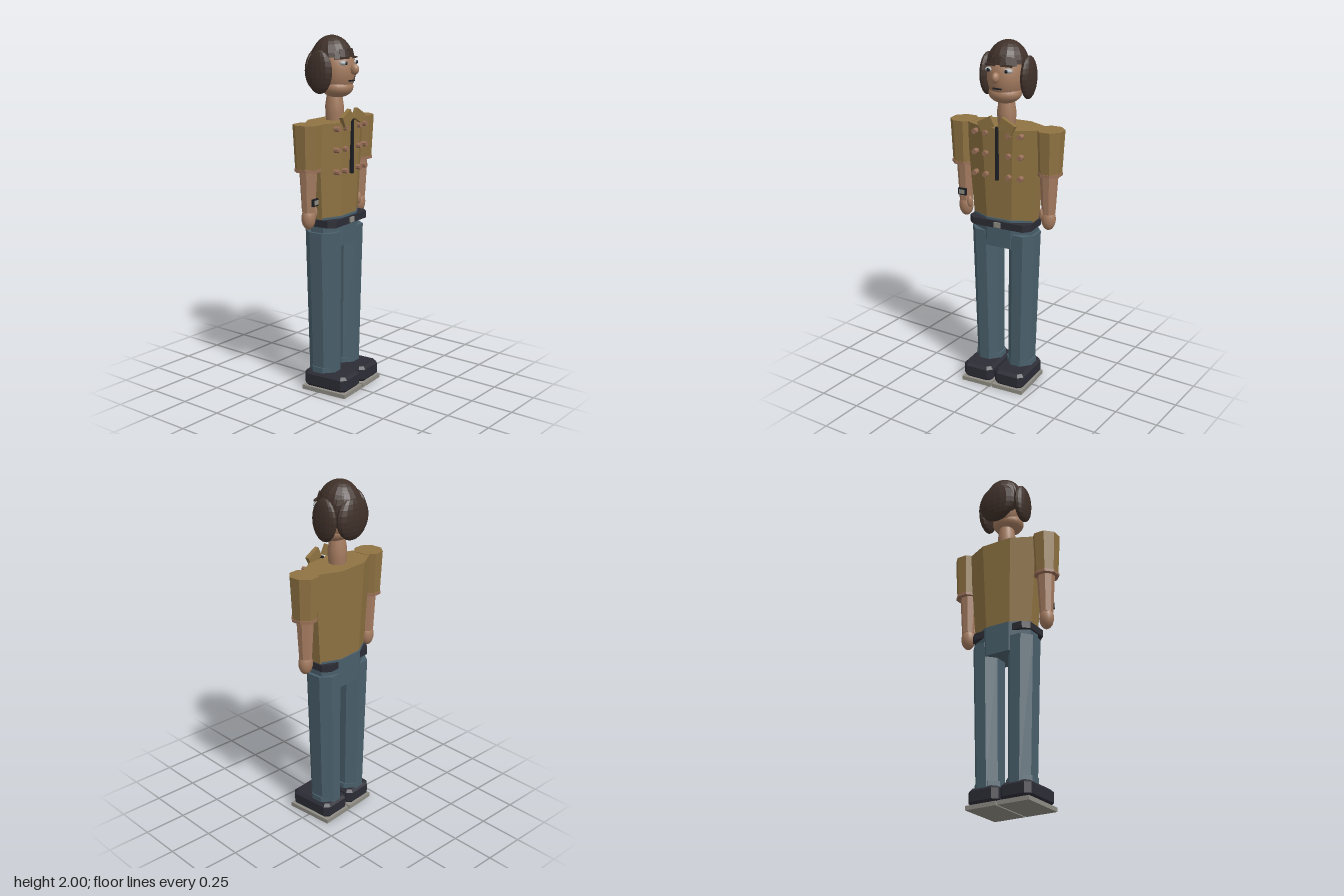
import * as THREE from 'three';

const mat = (name, color) => {
  const m = new THREE.MeshStandardMaterial({ color });
  m.name = name;
  return m;
};

export function createModel() {
  const shirt = mat('ochre shirt', 0x8f7342);
  const denim = mat('blue trousers', 0x4a606c);
  const skin = mat('skin', 0xa57c60);
  const hair = mat('brown hair', 0x40312a);
  const leather = mat('dark leather', 0x2c2c36);
  const grey = mat('warm grey', 0x8f8d84);
  const trim = mat('copper trim', 0x9a7058);
  const black = mat('black', 0x1e2024);
  const white = mat('eye white', 0xb4b8b8);

  const body = new THREE.Group();
  body.name = 'figure';

  const add = (name, geo, material, x, y, z) => {
    const mesh = new THREE.Mesh(geo, material);
    mesh.name = name;
    mesh.position.set(x, y, z);
    body.add(mesh);
    return mesh;
  };
  // gives faceted normals
  const flat = (geo) => {
    const g = geo.index ? geo.toNonIndexed() : geo;
    g.computeVertexNormals();
    return g;
  };
  // eight-sided prism with half sizes rx, rz at the top, scaled by k at the bottom
  const prism = (rx, rz, h, k = 1) => {
    const c = Math.cos(Math.PI / 8);
    return flat(new THREE.CylinderGeometry(1 / c, k / c, h, 8)
      .rotateY(Math.PI / 8).scale(rx, 1, rz));
  };
  const ball = (rx, ry, rz, w = 16, h = 12) =>
    new THREE.SphereGeometry(1, w, h).scale(rx, ry, rz);
  const box = (w, h, d) => new THREE.BoxGeometry(w, h, d);
  // rectangle with cut corners, extruded upwards from y = 0
  const slab = (x, z0, z1, cut, h, bevel = 0) => {
    const b = bevel;
    const pts = [
      [-x + cut, -z1 + b], [x - cut, -z1 + b], [x - b, -z1 + cut], [x - b, -z0 - cut],
      [x - cut, -z0 - b], [-x + cut, -z0 - b], [-x + b, -z0 - cut], [-x + b, -z1 + cut],
    ].map(([a, c]) => new THREE.Vector2(a, c));
    const geo = new THREE.ExtrudeGeometry(new THREE.Shape(pts), {
      depth: h - 2 * b, bevelEnabled: b > 0, bevelSize: b, bevelThickness: b, bevelSegments: 1,
    });
    return flat(geo.rotateX(-Math.PI / 2).translate(0, b, 0));
  };

  // Torso and trousers top
  add('shirtBody', prism(0.225, 0.112, 0.53, 0.82), shirt, 0, 1.275, 0);
  add('hips', prism(0.182, 0.1, 0.17, 0.97), denim, 0, 0.935, 0);
  add('belt', slab(0.19, -0.09, 0.112, 0.035, 0.04), leather, 0, 0.968, 0);
  add('buckle', box(0.042, 0.03, 0.012), grey, 0, 0.988, 0.114);
  add('zip', box(0.014, 0.3, 0.02), black, 0, 1.4, 0.112);

  for (const s of [-1, 1]) {
    // Collar flaps and buttons
    add('collarFlap', box(0.09, 0.06, 0.024), shirt, s * 0.062, 1.562, 0.116)
      .rotation.z = -s * 0.48;
    for (const y of [1.51, 1.395, 1.275]) {
      for (const x of [0.07, 0.138]) {
        const button = add('button',
          flat(new THREE.CylinderGeometry(0.015, 0.015, 0.034, 8).rotateX(Math.PI / 2)),
          trim, s * x, y, x > 0.1 ? 0.107 : 0.113);
        button.rotation.z = -s * 0.4;
      }
    }

    // Arms
    const ax = s * 0.264;
    add('sleeve', prism(0.073, 0.077, 0.25, 0.84), shirt, ax, 1.417, 0);
    add('sleeveCuff', prism(0.066, 0.069, 0.016), trim, ax, 1.297, 0);
    add('forearm', prism(0.048, 0.045, 0.23, 0.74), skin, ax - s * 0.004, 1.18, 0);
    add('hand', ball(0.042, 0.064, 0.038), skin, ax - s * 0.004, 1.032, 0);
    add('thumb', ball(0.016, 0.036, 0.018, 10, 8), skin, ax - s * 0.036, 1.06, 0.016);

    // Legs
    const leg = add('trouserLeg', prism(0.08, 0.096, 0.83, 0.88), denim, s * 0.1085, 0.52, 0);
    leg.rotation.z = -s * 0.018;
    add('trouserHem', prism(0.08, 0.08, 0.035), denim, s * 0.1, 0.127, 0);

    // Shoes
    add('shoeUpper', slab(0.094, -0.095, 0.188, 0.035, 0.09, 0.016), leather, s * 0.1, 0.025, 0);
    add('shoeSole', box(0.19, 0.024, 0.285), grey, s * 0.1, 0.012, 0.0475);
  }

  // Wristwatch on the right arm
  add('watchCase', box(0.05, 0.04, 0.014), black, -0.26, 1.122, 0.042);
  add('watchDial', box(0.034, 0.024, 0.006), grey, -0.26, 1.122, 0.049);

  // Neck
  const neckProfile = [[0.047, 1.53], [0.052, 1.58], [0.052, 1.62], [0.046, 1.66], [0.04, 1.7]]
    .map(([r, y]) => new THREE.Vector2(r, y));
  add('neck', new THREE.LatheGeometry(neckProfile, 16), skin, 0, 0, 0);

  // Head and face
  add('head', ball(0.1, 0.15, 0.108, 24, 16), skin, 0, 1.815, 0.01);
  add('jaw', ball(0.092, 0.058, 0.088, 20, 12), skin, 0, 1.72, 0.018);
  add('nose', ball(0.021, 0.03, 0.027), skin, 0, 1.82, 0.128);
  add('mouth', box(0.05, 0.008, 0.012), black, 0, 1.758, 0.111);
  for (const s of [-1, 1]) {
    add('eye', ball(0.026, 0.013, 0.02, 12, 8), white, s * 0.055, 1.855, 0.092);
    add('pupil', ball(0.01, 0.01, 0.006, 10, 8), black, s * 0.053, 1.855, 0.11);
    const brow = add('eyebrow', box(0.052, 0.01, 0.014), hair, s * 0.054, 1.882, 0.098);
    brow.rotation.set(0, s * 0.3, s * -0.06);
    // Hair over the ears
    add('sideHair', flat(ball(0.034, 0.118, 0.08)), hair, s * 0.123, 1.807, -0.018);
  }

  // Hair
  const cap = new THREE.SphereGeometry(1, 16, 8, 0, Math.PI * 2, 0, Math.PI * 0.47)
    .scale(0.114, 0.135, 0.118);
  add('hairCap', flat(cap), hair, 0, 1.865, -0.013).rotation.x = -0.12;
  add('crownHair', flat(ball(0.108, 0.13, 0.1)), hair, 0, 1.855, -0.04);
  add('backHair', flat(ball(0.118, 0.12, 0.045)), hair, 0, 1.81, -0.105);
  for (let i = -3; i <= 3; i++) {
    const a = i * 0.28;
    const lock = add('fringeLock', box(0.03, 0.045, 0.014), hair,
      Math.sin(a) * 0.098, 1.905 - (i % 2 ? 0.008 : 0), Math.cos(a) * 0.105 - 0.008);
    lock.rotation.set(-0.25, a, 0, 'YXZ');
  }

  // Whole figure stands slightly turned
  body.rotation.y = 0.1;
  body.position.z = -0.03;
  const model = new THREE.Group();
  model.name = 'standingMan';
  model.add(body);
  return model;
}
